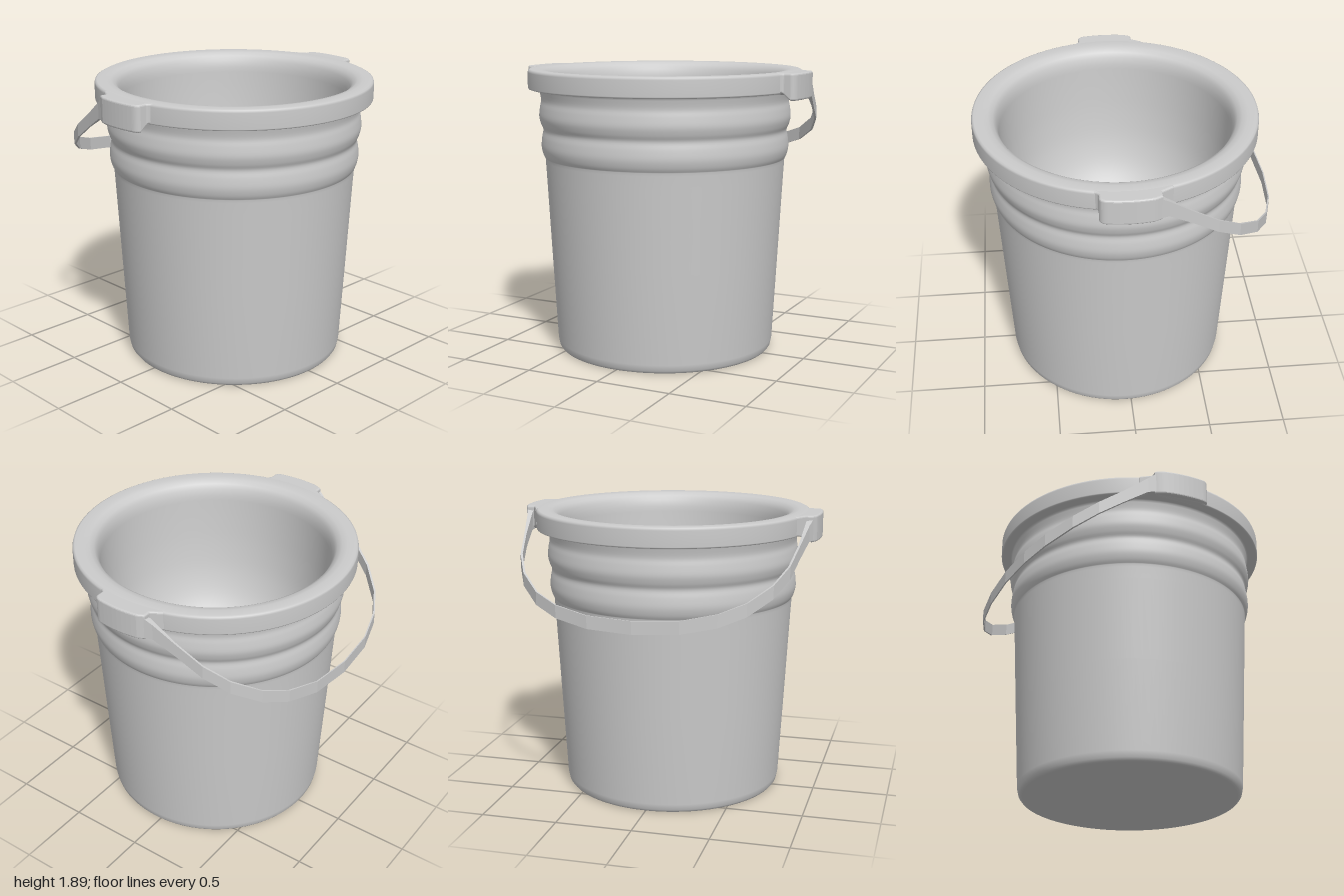
import * as THREE from 'three';

const CENTER_Z = 0.04;
const grey = new THREE.MeshStandardMaterial({ color: 0xcccccc });
const greyFlat = new THREE.MeshStandardMaterial({ color: 0xcccccc, flatShading: true });

const toPoints = (list) => list.map(([a, b]) => new THREE.Vector2(a, b));

// Bucket: one closed profile, up the outside, over the rim and down the rounded inside
function makeBucket() {
  const outside = toPoints([
    [0, 0], [0.7, 0], [0.715, 0.003], [0.728, 0.02], [0.736, 0.06], [0.768, 0.65], [0.797, 1.2],
    [0.802, 1.28],
  ]);
  // two soft ribs below the rim
  const ribs = new THREE.SplineCurve(toPoints([
    [0.803, 1.3], [0.818, 1.33], [0.828, 1.38], [0.823, 1.44], [0.814, 1.49],
    [0.829, 1.53], [0.84, 1.58], [0.834, 1.64], [0.826, 1.69], [0.838, 1.755],
  ])).getPoints(36);
  const rim = toPoints([
    [0.845, 1.76], [0.9, 1.76], [0.908, 1.763], [0.911, 1.77], [0.911, 1.87], [0.907, 1.884],
    [0.895, 1.89], [0.84, 1.89], [0.805, 1.885], [0.775, 1.866], [0.756, 1.836],
  ]);
  const inside = new THREE.SplineCurve(toPoints([
    [0.746, 1.79], [0.734, 1.6], [0.714, 1.4], [0.677, 1.2], [0.608, 1.02],
    [0.5, 0.885], [0.35, 0.785], [0.18, 0.735], [0, 0.72],
  ])).getPoints(32);
  const mesh = new THREE.Mesh(
    new THREE.LatheGeometry([...outside, ...ribs, ...rim, ...inside], 96), grey);
  mesh.name = 'bucket';
  mesh.position.z = CENTER_Z;
  return mesh;
}

// Ear: plan outline extruded upward, filleted into the rim at the front, notched at the back
function makeEar(side) {
  const b = 0.012;
  const s = new THREE.Shape();
  s.moveTo(0.84, -0.28);
  s.lineTo(0.85, -0.28);
  s.quadraticCurveTo(0.885, -0.205, 0.91, -0.205);
  s.lineTo(0.95, -0.205);
  s.quadraticCurveTo(0.968, -0.2, 0.974, -0.17);
  s.quadraticCurveTo(0.997, -0.035, 0.974, 0.1);
  s.quadraticCurveTo(0.966, 0.12, 0.955, 0.14);
  s.lineTo(0.91, 0.14);
  s.lineTo(0.87, 0.21);
  s.lineTo(0.84, 0.21);
  s.closePath();
  const geo = new THREE.ExtrudeGeometry(s, {
    depth: 0.17 - 2 * b, bevelEnabled: true, bevelSize: b, bevelThickness: b,
    bevelSegments: 3, curveSegments: 8,
  });
  geo.rotateX(-Math.PI / 2);
  geo.translate(0, 1.719 + b, 0);
  // slope the inner part of the underside up to the rim
  const p = geo.attributes.position;
  for (let i = 0; i < p.count; i++) {
    const lift = THREE.MathUtils.clamp((0.945 - p.getX(i)) / 0.045, 0, 1);
    if (p.getY(i) < 1.76) p.setY(i, p.getY(i) + 0.045 * lift);
  }
  geo.computeVertexNormals();
  const mesh = new THREE.Mesh(geo, grey);
  mesh.scale.x = side;
  mesh.name = side > 0 ? 'leftEar' : 'rightEar';
  return mesh;
}

// Handle: a thin upright band through a faceted arc that slopes down to the back,
// thicker and taller where it leaves the ears
function makeHandle() {
  // x, z, half thickness, half height
  const half = [
    [0.948, -0.125, 0.024, 0.072], [0.934, -0.19, 0.015, 0.052], [0.908, -0.34, 0.007, 0.043],
    [0.874, -0.5, 0.007, 0.042], [0.8, -0.645, 0.007, 0.042], [0.667, -0.782, 0.006, 0.042],
    [0.51, -0.87, 0.005, 0.042], [0.29, -0.932, 0.004, 0.042],
  ];
  const mirrored = half.map(([x, ...rest]) => [-x, ...rest]).reverse();
  const path = [...half, [0, -0.953, 0.004, 0.042], ...mirrored];
  const pos = [], idx = [];
  path.forEach(([x, z, t, h], i) => {
    const a = path[Math.max(i - 1, 0)], c = path[Math.min(i + 1, path.length - 1)];
    const n = new THREE.Vector2(-(c[1] - a[1]), c[0] - a[0]).normalize();
    const y = Math.min(1.775 + 0.642 * (z + 0.2), 1.805);
    for (const [o, v] of [[t, -h], [t, h], [-t, h], [-t, -h]]) {
      pos.push(x + n.x * o, y + v, z + n.y * o);
    }
    if (i === 0) return;
    for (let k = 0; k < 4; k++) {
      const m = (k + 1) % 4, p = 4 * (i - 1), q = 4 * i;
      idx.push(p + k, q + m, p + m, p + k, q + k, q + m);
    }
  });
  const geo = new THREE.BufferGeometry();
  geo.setAttribute('position', new THREE.Float32BufferAttribute(pos, 3));
  geo.setIndex(idx);
  const flat = geo.toNonIndexed();
  flat.computeVertexNormals();
  const mesh = new THREE.Mesh(flat, greyFlat);
  mesh.name = 'handle';
  return mesh;
}

export function createModel() {
  const model = new THREE.Group();
  model.name = 'pail';
  model.add(makeBucket(), makeEar(1), makeEar(-1), makeHandle());
  return model;
}
